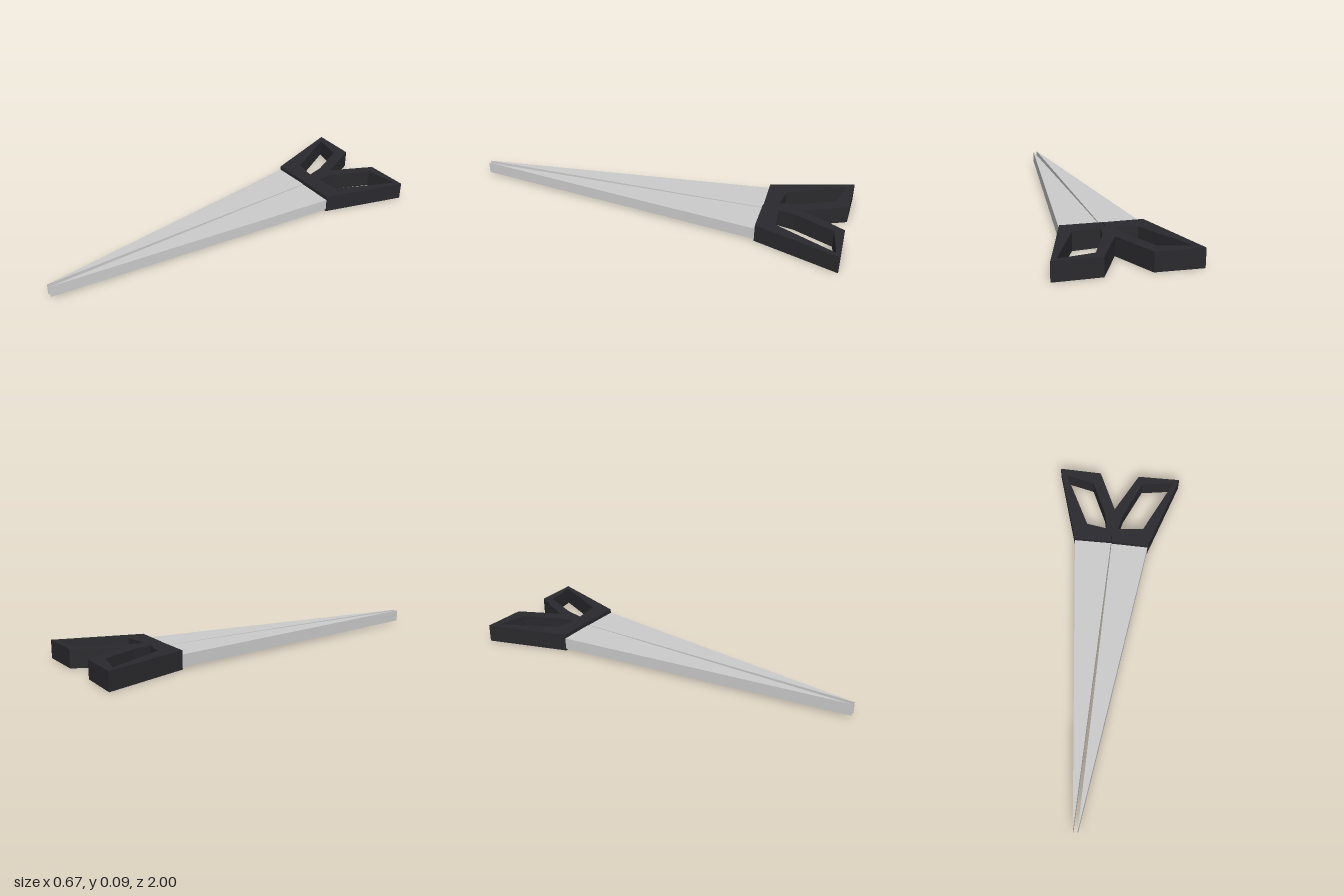
import * as THREE from 'three';

const HANDLE_HEIGHT = 0.093;
const BLADE_BOTTOM = 0.011;
const BLADE_HEIGHT = 0.061;

// Plan outlines are given as [x, z]
const toPoints = (outline) => outline.map(([x, z]) => new THREE.Vector2(x, -z));

// Upright slab with a counter-clockwise plan outline and optional holes
function slab(name, outline, holes, bottom, height, material) {
  const shape = new THREE.Shape(toPoints(outline));
  shape.holes = holes.map((hole) => new THREE.Path(toPoints(hole)));
  const geometry = new THREE.ExtrudeGeometry(shape, { depth: height, bevelEnabled: false });
  geometry.rotateX(-Math.PI / 2);
  geometry.translate(0, bottom, 0);
  const mesh = new THREE.Mesh(geometry, material);
  mesh.name = name;
  return mesh;
}

export function createModel() {
  const model = new THREE.Group();
  model.name = 'scissors';
  const steel = new THREE.MeshStandardMaterial({ color: 0xcccccc, flatShading: true });
  const plastic = new THREE.MeshStandardMaterial({ color: 0x2a2a2e, flatShading: true });

  // Two angular finger loops joined at the middle, with a narrow slot at the front
  const handleOutline = [
    [-0.337, -1], [-0.222, -0.565], [-0.022, -0.56], [-0.022, -0.605], [-0.018, -0.605],
    [-0.018, -0.557], [0.181, -0.547], [0.337, -0.972], [0.108, -0.978], [-0.014, -0.76],
    [-0.108, -0.985],
  ];
  const rightFingerHole = [
    [-0.298, -0.96], [-0.16, -0.66], [-0.05, -0.638], [-0.066, -0.728], [-0.145, -0.918],
  ];
  const leftFingerHole = [
    [0.13, -0.928], [0.034, -0.728], [0.013, -0.64], [0.15, -0.648], [0.305, -0.95],
  ];
  model.add(slab('handles', handleOutline, [rightFingerHole, leftFingerHole], 0, HANDLE_HEIGHT, plastic));

  // Long blades tapering to a point, slightly open towards the tips
  const rightBlade = [[-0.221, -0.565], [-0.1, 1], [-0.022, -0.56]];
  const leftBlade = [[-0.018, -0.557], [-0.077, 1], [0.18, -0.547]];
  model.add(slab('rightBlade', rightBlade, [], BLADE_BOTTOM, BLADE_HEIGHT, steel));
  model.add(slab('leftBlade', leftBlade, [], BLADE_BOTTOM, BLADE_HEIGHT, steel));

  return model;
}
